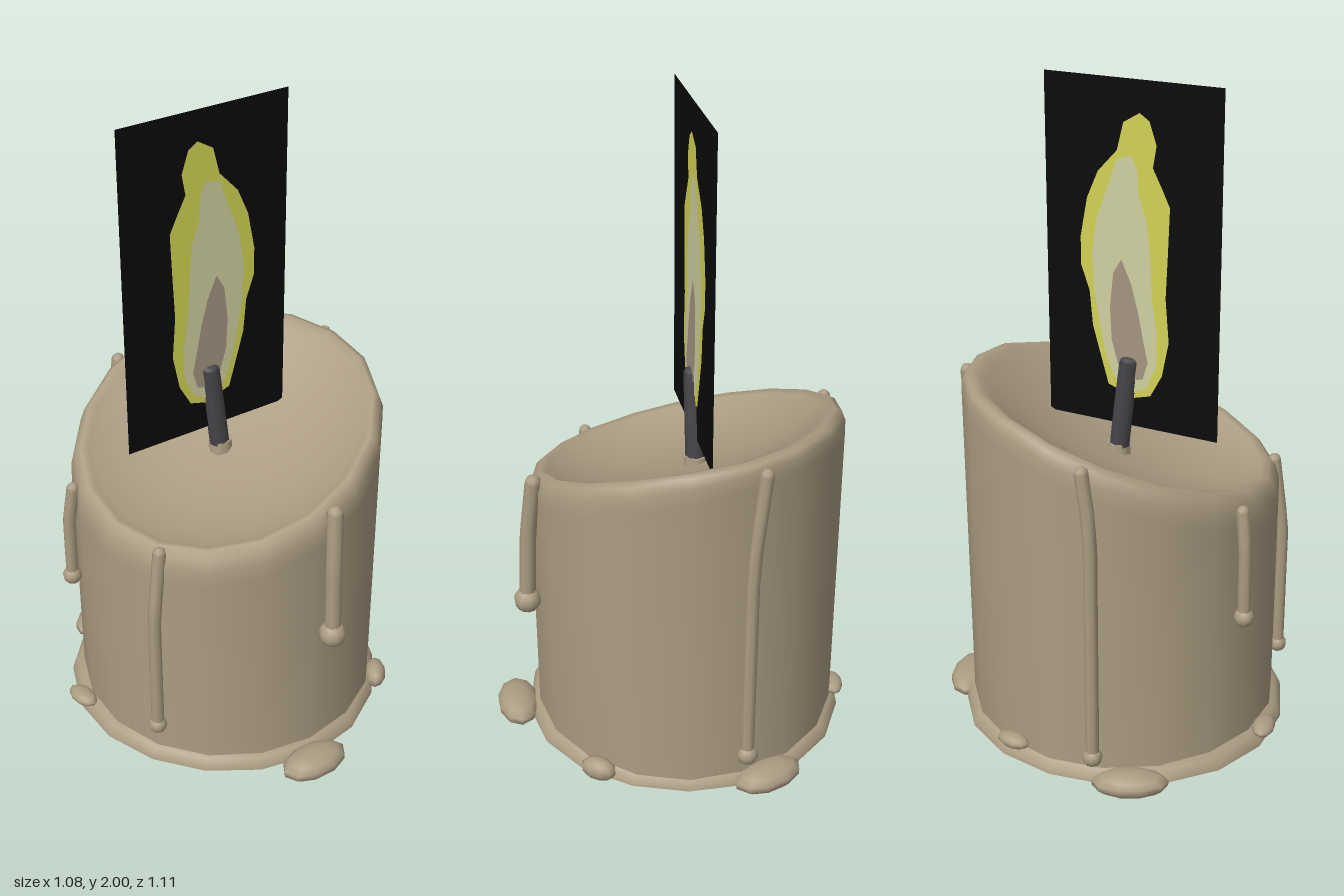
import * as THREE from 'three';
import { mergeVertices } from 'three/addons/utils/BufferGeometryUtils.js';

const SIDES = 18;
const CENTRE_Z = -0.053; // axis of the candle
const CARD_Z = -0.085;

function material(name, color, doubleSided = false) {
  const m = new THREE.MeshStandardMaterial({ color });
  m.name = name;
  if (doubleSided) m.side = THREE.DoubleSide;
  return m;
}

function add(parent, name, geometry, mat) {
  const mesh = new THREE.Mesh(geometry, mat);
  mesh.name = name;
  parent.add(mesh);
  return mesh;
}

// Lathe whose vertices are moved by a rule, then smoothed without a seam
function shapedLathe(profile, rule) {
  let g = new THREE.LatheGeometry(profile.map(([r, y]) => new THREE.Vector2(r, y)), SIDES);
  const p = g.attributes.position;
  const v = new THREE.Vector3();
  for (let i = 0; i < p.count; i++) {
    rule(v.fromBufferAttribute(p, i));
    p.setXYZ(i, v.x, v.y, v.z);
  }
  g.deleteAttribute('uv');
  g.deleteAttribute('normal');
  g = mergeVertices(g, 1e-4);
  g.computeVertexNormals();
  return g;
}

// Flat outline from [x, y] points
function outline(points) {
  return new THREE.ShapeGeometry(new THREE.Shape(points.map(([x, y]) => new THREE.Vector2(x, y))));
}

export function createModel() {
  const model = new THREE.Group();
  model.name = 'candle';

  const wax = material('wax', 0xab9c82);
  const wickMat = material('charred wick', 0x48464a);
  const cardMat = material('black card', 0x0a0a0a, true);
  const yellow = material('flame yellow', 0xd2d255, true);
  const cream = material('flame cream', 0xd0d0a2, true);
  const core = material('flame core', 0xa49480, true);

  // Slanted body: wall, rounded rim and shallow bowl
  const body = add(model, 'waxBody', shapedLathe([
    [0.475, 0.04], [0.475, 0.12], [0.475, 0.90], [0.474, 0.95], [0.462, 0.985],
    [0.443, 1.0], [0.422, 0.99], [0.40, 0.972], [0.33, 0.94], [0.24, 0.91], [0.13, 0.893], [0, 0.887],
  ], (v) => {
    if (v.y < 0.5) return;
    v.y += 0.32 * v.x - 0.18 * v.z;
    // flatten the highest part of the rim
    if (v.y > 1.11) v.y = 1.11 + (v.y - 1.11) * 0.55;
  }), wax);
  body.position.z = CENTRE_Z;

  // Spread foot, slightly uneven, with a flat underside
  const uneven = (v) => {
    const k = 1 + 0.012 * Math.sin(3 * Math.atan2(v.x, v.z) + 1);
    v.x *= k;
    v.z *= k;
  };
  const foot = add(model, 'waxFoot', shapedLathe(
    [[0.503, 0.03], [0.5, 0.045], [0.485, 0.066], [0.46, 0.074]], uneven), wax);
  const underside = add(model, 'underside', shapedLathe([[0, 0.03], [0.503, 0.03]], uneven), wax);
  for (const part of [foot, underside]) part.position.set(-0.008, 0, CENTRE_Z);

  // Wax drips: a thin run ending in a bead
  const drips = [
    { path: [[0.065, 0.92, 0.418], [0.052, 0.73, 0.44], [0.05, 0.5, 0.45]], r: 0.025, bead: 0.042 },
    { path: [[-0.39, 0.825, 0.195], [-0.42, 0.6, 0.205], [-0.42, 0.18, 0.205]], r: 0.02, bead: 0.028 },
    { path: [[-0.455, 0.84, -0.2], [-0.47, 0.72, -0.21], [-0.472, 0.51, -0.21]], r: 0.02, bead: 0.03 },
    { path: [[0.458, 1.1, -0.185], [0.462, 0.8, -0.152], [0.462, 0.13, -0.15]], r: 0.021, bead: 0.033 },
    { path: [[-0.11, 1.02, -0.515], [-0.135, 0.85, -0.515], [-0.135, 0.11, -0.515]], r: 0.021, bead: 0.03 },
  ];
  for (const { path, r, bead } of drips) {
    const drip = new THREE.Group();
    drip.name = 'waxDrip';
    model.add(drip);
    const points = path.map((p) => new THREE.Vector3(...p));
    const curve = new THREE.CurvePath();
    curve.add(new THREE.LineCurve3(points[0], points[1]));
    curve.add(new THREE.LineCurve3(points[1], points[2]));
    add(drip, 'run', new THREE.TubeGeometry(curve, 8, r, 8), wax);
    add(drip, 'top', new THREE.SphereGeometry(r, 8, 6), wax).position.copy(points[0]);
    add(drip, 'bead', new THREE.SphereGeometry(bead, 10, 8), wax).position.copy(points[2]);
  }

  // Hardened pools around the foot: position, half sizes, turn
  const pools = [
    [-0.03, 0.047, 0.49, 0.113, 0.042, 0.066, 0],
    [0.36, 0.063, 0.29, 0.058, 0.037, 0.035, 0.95],
    [0.47, 0.045, -0.215, 0.115, 0.04, 0.065, 1.9],
    [-0.245, 0.04, -0.49, 0.115, 0.038, 0.06, 0.45],
    [0.13, 0.088, -0.52, 0.055, 0.022, 0.032, -0.15],
    [-0.51, 0.09, -0.117, 0.058, 0.022, 0.034, 1.75],
  ];
  for (const [x, y, z, a, b, c, turn] of pools) {
    const pool = add(model, 'waxPool', new THREE.SphereGeometry(1, 10, 7), wax);
    pool.scale.set(a, b, c);
    pool.rotation.y = turn;
    pool.position.set(x, y, z);
  }

  // Bent wick with a small wax collar
  const wick = new THREE.Group();
  wick.name = 'wick';
  model.add(wick);
  const wickCurve = new THREE.CatmullRomCurve3([
    new THREE.Vector3(0, 0.87, CARD_Z), new THREE.Vector3(-0.012, 0.98, CARD_Z),
    new THREE.Vector3(-0.028, 1.11, CARD_Z), new THREE.Vector3(-0.038, 1.185, CARD_Z),
  ]);
  add(wick, 'stem', new THREE.TubeGeometry(wickCurve, 6, 0.031, 8), wickMat);
  const tip = add(wick, 'tip', new THREE.SphereGeometry(0.031, 8, 6), wickMat);
  tip.position.set(-0.038, 1.183, CARD_Z);
  tip.scale.y = 0.5;
  add(wick, 'collar', new THREE.CylinderGeometry(0.034, 0.04, 0.05, 8), wax).position.set(0, 0.895, CARD_Z);

  // Flame card with layered flame shapes on both faces
  const flame = new THREE.Group();
  flame.name = 'flameCard';
  flame.position.z = CARD_Z;
  model.add(flame);
  add(flame, 'card', outline([[-0.32, 0.98], [0.228, 0.98], [0.228, 2], [-0.32, 2]]), cardMat);
  const layers = [
    ['outerFlame', yellow, [
      [-0.07, 1.91], [-0.02, 1.88], [0, 1.8], [0.06, 1.735], [0.095, 1.655], [0.117, 1.54], [0.117, 1.455],
      [0.09, 1.38], [0.08, 1.275], [0.053, 1.18], [0.03, 1.1], [0, 1.09], [-0.053, 1.07], [-0.106, 1.085],
      [-0.143, 1.153], [-0.164, 1.26], [-0.153, 1.39], [-0.159, 1.524], [-0.164, 1.656], [-0.138, 1.71],
      [-0.111, 1.762], [-0.122, 1.825], [-0.1, 1.89],
    ]],
    ['innerFlame', cream, [
      [-0.045, 1.79], [0, 1.775], [0.032, 1.683], [0.063, 1.603], [0.08, 1.497], [0.074, 1.39], [0.058, 1.296],
      [0.04, 1.206], [0.01, 1.127], [-0.053, 1.088], [-0.095, 1.11], [-0.127, 1.18], [-0.127, 1.286],
      [-0.111, 1.39], [-0.106, 1.497], [-0.095, 1.603], [-0.069, 1.683], [-0.063, 1.76],
    ]],
    ['flameCore', core, [
      [-0.016, 1.49], [0.01, 1.445], [0.021, 1.34], [0.016, 1.243], [-0.01, 1.153], [-0.053, 1.127],
      [-0.085, 1.137], [-0.1, 1.19], [-0.085, 1.26], [-0.069, 1.34], [-0.048, 1.418],
    ]],
  ];
  layers.forEach(([name, mat, points], i) => {
    for (const side of [1, -1]) {
      add(flame, name, outline(points), mat).position.z = side * 0.003 * (i + 1);
    }
  });

  return model;
}
